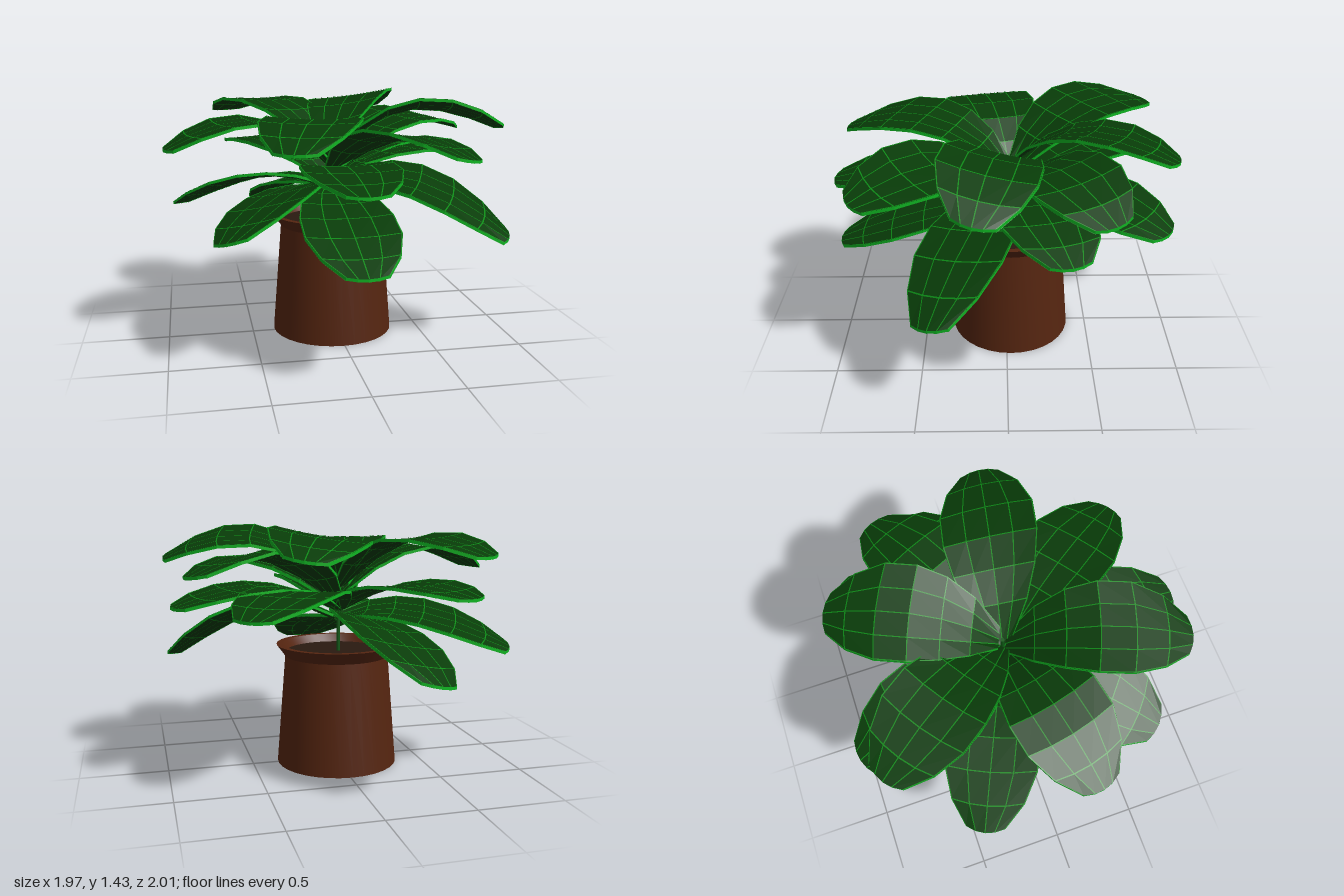
import * as THREE from 'three';
import { toCreasedNormals } from 'three/addons/utils/BufferGeometryUtils.js';

const material = (color, flat = false) =>
  new THREE.MeshStandardMaterial({ color, flatShading: flat, side: THREE.DoubleSide });
const leafMat = material(0x083c08, true);
const edgeMat = material(0x0fb422, true);
const veinMat = material(0x0c8a16, true);
const potMat = material(0x552510);
const soilMat = material(0x2a1a10);
const stemMat = material(0x0d5a14);

const STEM = new THREE.Vector3(-0.02, 0, -0.03);
const ROWS = [0, 0.18, 0.36, 0.54, 0.72, 0.88, 1];
const HALF = [0.06, 0.16, 0.225, 0.26, 0.26, 0.205, 0.11];
const COLS = [-1, -0.5, 0, 0.5, 1];
const THICK = 0.012;

// Tip x, tip z, base height, crown height, tip height, sideways slope
const LEAVES = {
  upperLeaf: [
    [0.38, -0.91, 1.12, 1.37, 1.28, -0.15], [-0.6, -0.86, 1.07, 1.35, 1.28, 0.03],
    [-0.98, 0.19, 1.02, 1.28, 1.15, 0], [0.98, 0.17, 1.06, 1.35, 1.24, -0.18],
    [-0.37, 0.94, 1.06, 1.32, 1.21, 0], [0.88, -0.52, 0.98, 1.26, 1.18, 0.1],
    [0.56, 0.82, 0.98, 1.22, 1.14, -0.15],
  ],
  middleLeaf: [
    [-0.02, 1.0, 0.93, 1.07, 1.01, 0], [0.96, -0.31, 0.93, 1.08, 1.0, 0],
    [0.63, -0.83, 0.93, 1.08, 0.99, 0], [-0.51, -0.88, 0.93, 1.1, 1.07, 0],
  ],
  lowerLeaf: [
    [-0.02, 1.0, 0.87, 0.8, 0.61, 0], [0.95, 0.41, 0.87, 0.935, 0.63, 0.18],
    [-0.29, -1.0, 0.89, 0.88, 0.66, -0.22], [-0.93, -0.45, 0.88, 0.92, 0.73, 0.15],
    [-0.68, 0.7, 0.88, 0.92, 0.74, 0.27],
  ],
};

// Surface through a grid of points (rows of equal length)
function gridGeometry(rows) {
  const n = rows[0].length, index = [];
  for (let i = 0; i < rows.length - 1; i++) {
    for (let j = 0; j < n - 1; j++) {
      const a = i * n + j, b = a + n;
      index.push(a, b, a + 1, b, b + 1, a + 1);
    }
  }
  const g = new THREE.BufferGeometry().setFromPoints(rows.flat());
  g.setIndex(index);
  g.computeVertexNormals();
  return g;
}

function halfWidth(t) {
  let i = 0;
  while (i < ROWS.length - 2 && t > ROWS[i + 1]) i++;
  return THREE.MathUtils.mapLinear(t, ROWS[i], ROWS[i + 1], HALF[i], HALF[i + 1]);
}

// One leaf arching along +z, then turned towards its tip
function makeLeaf(name, [tx, tz, baseY, crownY, tipY, slope]) {
  const dx = tx - STEM.x, dz = tz - STEM.z;
  const reach = Math.hypot(dx, dz);
  const arch = new THREE.QuadraticBezierCurve(
    new THREE.Vector2(0.02, baseY),
    new THREE.Vector2(reach * 0.42, 2 * crownY - (baseY + tipY) / 2),
    new THREE.Vector2(reach, tipY));
  const point = (t, u, lift = 0) => {
    const p = arch.getPoint(t);
    const side = halfWidth(t) * u;
    return new THREE.Vector3(side,
      p.y + slope * side + 0.02 * u * u * (1 - t * 0.7) + lift, p.x - 0.03 * t * u * u);
  };

  const leaf = new THREE.Group();
  leaf.name = name;
  const add = (part, rows, mat) => {
    const mesh = new THREE.Mesh(gridGeometry(rows), mat);
    mesh.name = part;
    leaf.add(mesh);
  };

  // Upper and lower faces
  add('leafTop', ROWS.map(t => COLS.map(u => point(t, u))), leafMat);
  add('leafUnderside', ROWS.map(t => COLS.map(u => point(t, -u, -THICK))), leafMat);

  // Bright rim around the outline
  const outline = [
    ...ROWS.map(t => [t, -1]),
    ...COLS.slice(1, -1).map(u => [1, u]),
    ...[...ROWS].reverse().map(t => [t, 1]),
  ];
  add('leafRim', [0.002, -THICK - 0.002].map(h => outline.map(([t, u]) => point(t, u, h))), edgeMat);

  // Thin veins along and across both faces
  for (const h of [0.003, -THICK - 0.003]) {
    for (const u of COLS) {
      const centre = u * 0.985;
      add('longVein', ROWS.map(t => [-1, 1].map(s =>
        point(t, centre + s * 0.003 / halfWidth(t), h))), veinMat);
    }
    for (const t of ROWS.slice(1, -1)) {
      add('crossVein', [-0.003, 0.003].map(d => COLS.map(u => point(t + d, u, h))), veinMat);
    }
  }

  leaf.position.copy(STEM);
  leaf.rotation.y = Math.atan2(dx, dz);
  return leaf;
}

export function createModel() {
  const model = new THREE.Group();
  model.name = 'pottedPlant';

  // Tapered pot with a flared lip
  const profile = [[0, 0], [0.359, 0], [0.307, 0.65], [0.359, 0.72], [0.325, 0.72], [0.29, 0.66]]
    .map(([r, y]) => new THREE.Vector2(r, y));
  const pot = new THREE.Mesh(toCreasedNormals(new THREE.LatheGeometry(profile, 32), 0.4), potMat);
  pot.name = 'pot';
  pot.position.set(-0.01, 0, -0.025);
  model.add(pot);

  const soil = new THREE.Mesh(new THREE.CircleGeometry(0.3, 32), soilMat);
  soil.name = 'soil';
  soil.rotation.x = -Math.PI / 2;
  soil.position.set(-0.01, 0.675, -0.025);
  model.add(soil);

  const stem = new THREE.Mesh(new THREE.CylinderGeometry(0.012, 0.012, 0.45, 8), stemMat);
  stem.name = 'stem';
  stem.position.set(STEM.x, 0.89, STEM.z);
  model.add(stem);

  // Three tiers of leaves
  for (const [name, list] of Object.entries(LEAVES)) {
    for (const spec of list) model.add(makeLeaf(name, spec));
  }
  return model;
}
